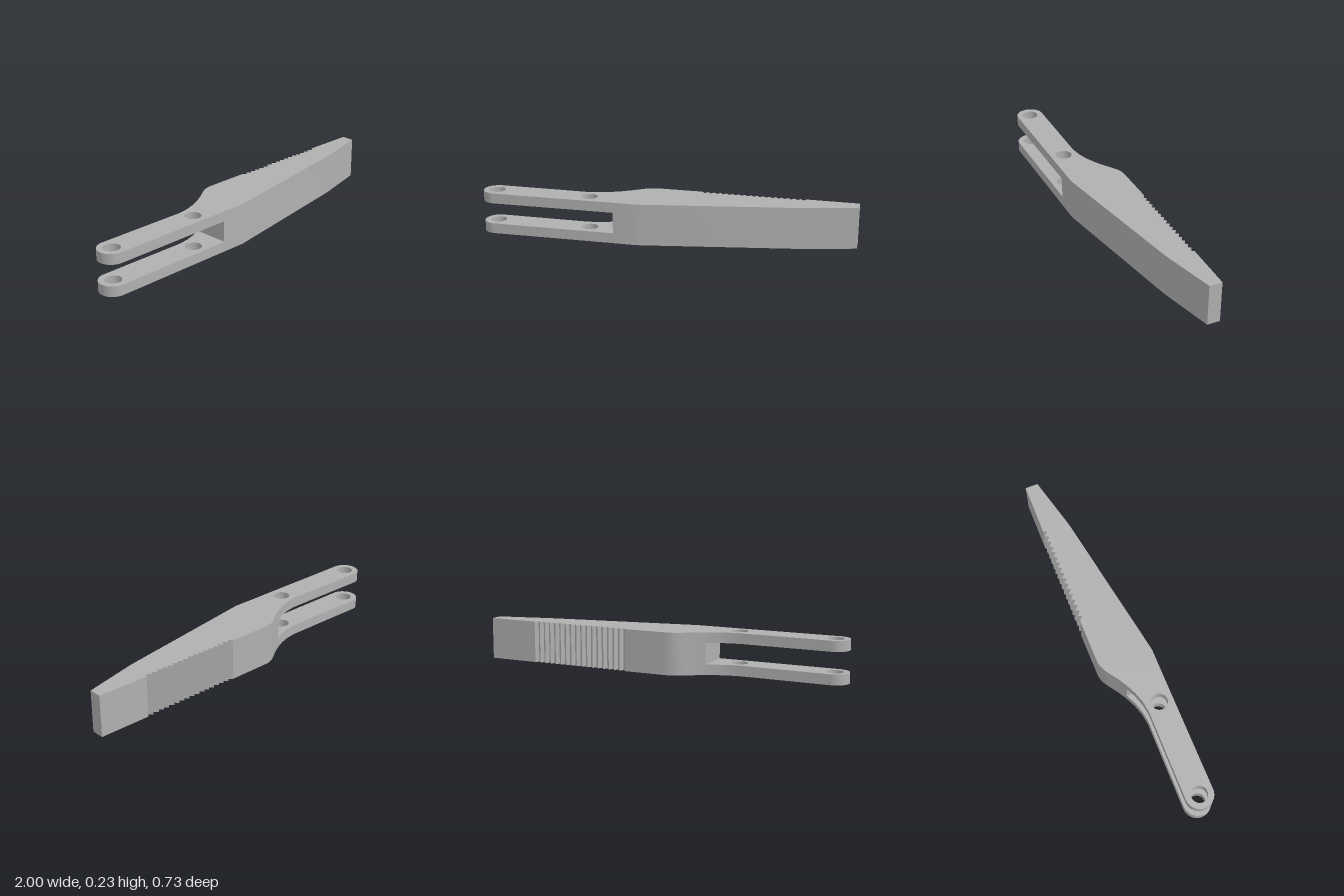
import * as THREE from 'three';
import { toCreasedNormals } from 'three/addons/utils/BufferGeometryUtils.js';

const HEIGHT = 0.235;
const ARM_THICKNESS = 0.058;
const HOLE_RADIUS = 0.045;

// Seam between the solid jaw and the forked arms, as [x, z]
const SEAM_BACK = [-0.28, 0.014];
const SEAM_FRONT = [-0.23, 0.211];

// Extrude a plan outline (x, -z) upwards from a base height
function slab(name, shape, base, depth, material) {
  const extruded = new THREE.ExtrudeGeometry(shape, { depth, bevelEnabled: false, curveSegments: 20 });
  extruded.rotateX(-Math.PI / 2).translate(0, base, 0);
  const mesh = new THREE.Mesh(toCreasedNormals(extruded, 0.45), material);
  mesh.name = name;
  return mesh;
}

// Back edge teeth: shallow slope down towards the tip, then a steep rise
function toothPoints() {
  const start = new THREE.Vector2(0.128, -0.18);
  const end = new THREE.Vector2(0.7, -0.307);
  const count = 17;
  const points = [];
  for (let i = 0; i < count; i++) {
    const peak = start.clone().lerp(end, i / count);
    const valley = start.clone().lerp(end, (i + 0.75) / count);
    points.push([peak.x, peak.y], [valley.x, valley.y + 0.021]);
  }
  points.push([end.x, end.y]);
  return points;
}

function jawShape() {
  const outline = [
    SEAM_FRONT, [-0.1, 0.182], [-0.07, 0.17], [0.71, -0.153], [0.745, -0.17],
    [1, -0.298], [0.984, -0.368],
    ...toothPoints().reverse(),
    [-0.1, -0.128], [-0.125, -0.122], [-0.15, -0.11], [-0.175, -0.092],
    [-0.2, -0.066], [-0.235, -0.028], SEAM_BACK,
  ];
  return new THREE.Shape(outline.map(([x, z]) => new THREE.Vector2(x, -z)));
}

function armShape() {
  const shape = new THREE.Shape();
  const tilt = Math.atan(0.22);
  const pivots = [[-0.923, 0.29], [-0.396, 0.171]];
  shape.moveTo(SEAM_FRONT[0], -SEAM_FRONT[1]);
  shape.lineTo(SEAM_BACK[0], -SEAM_BACK[1]);
  for (const [x, z] of [[-0.33, 0.052], [-0.385, 0.084], [-0.445, 0.107]]) shape.lineTo(x, -z);
  // Rounded outer end
  shape.absarc(pivots[0][0], -pivots[0][1], 0.077, tilt + Math.PI / 2, tilt + Math.PI * 1.5, false);
  shape.closePath();
  for (const [x, z] of pivots) {
    const hole = new THREE.Path();
    hole.absarc(x, -z, HOLE_RADIUS, 0, Math.PI * 2, true);
    shape.holes.push(hole);
  }
  return shape;
}

export function createModel() {
  const group = new THREE.Group();
  group.name = 'forkedJaw';
  const grey = new THREE.MeshStandardMaterial({ color: 0xb0b0b0 });
  grey.name = 'grey';

  // Solid toothed jaw
  group.add(slab('toothedJaw', jawShape(), 0, HEIGHT, grey));

  // Two parallel fork arms with pivot holes
  group.add(slab('lowerArm', armShape(), 0, ARM_THICKNESS, grey));
  group.add(slab('upperArm', armShape(), HEIGHT - ARM_THICKNESS, ARM_THICKNESS, grey));
  return group;
}
